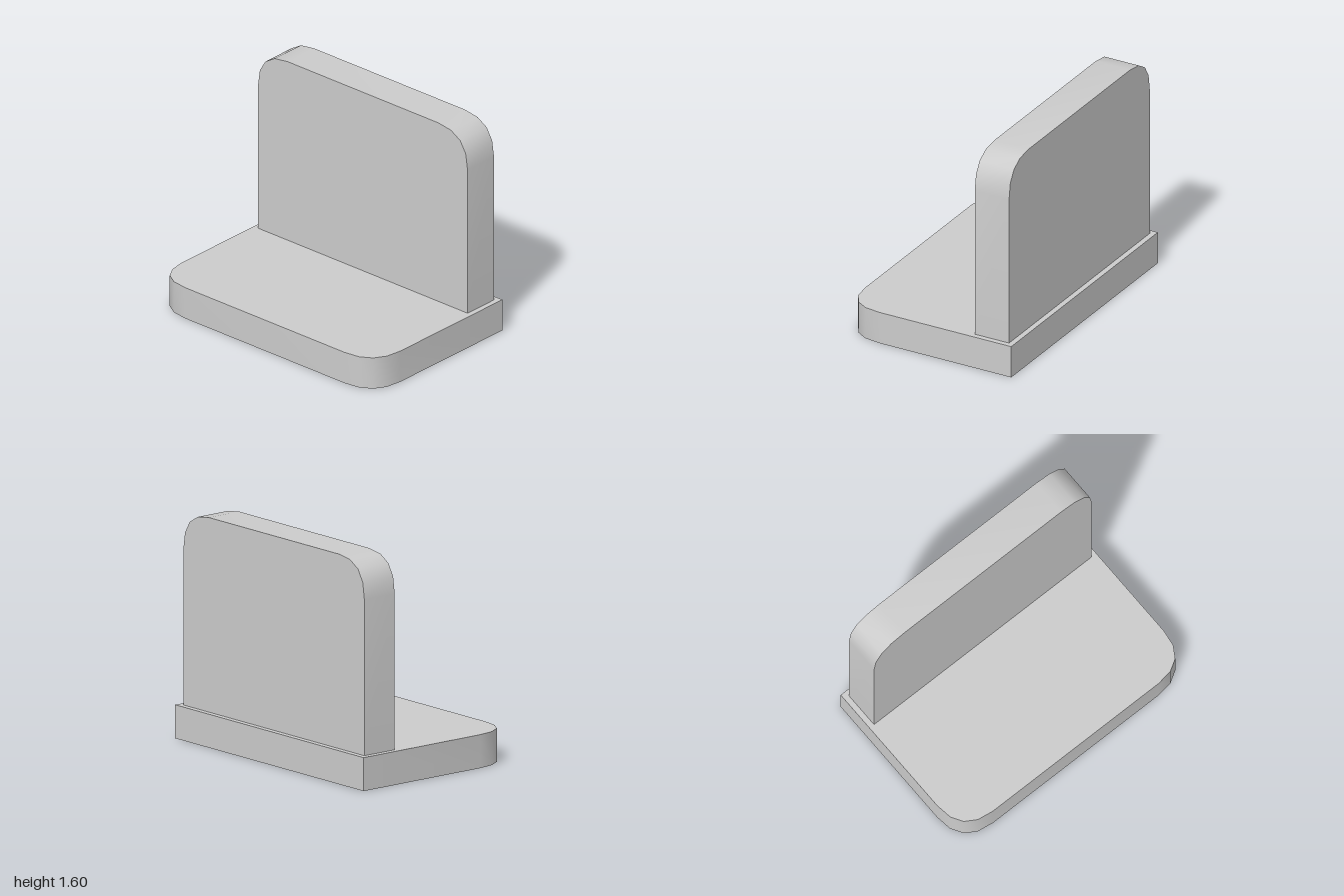
import * as THREE from 'three';
import { toCreasedNormals } from 'three/addons/utils/BufferGeometryUtils.js';

const material = new THREE.MeshStandardMaterial({ color: 0xcccccc });

// Slab whose outline runs from y0 (square corners) to y1 (rounded corners)
function roundedSlab(halfWidth, y0, y1, radius, depth) {
  const w = halfWidth;
  const shape = new THREE.Shape();
  shape.moveTo(-w, y0);
  shape.lineTo(w, y0);
  shape.lineTo(w, y1 - radius);
  shape.quadraticCurveTo(w, y1, w - radius, y1);
  shape.lineTo(-w + radius, y1);
  shape.quadraticCurveTo(-w, y1, -w, y1 - radius);
  shape.closePath();
  const geometry = new THREE.ExtrudeGeometry(shape, { depth, bevelEnabled: false, curveSegments: 4 });
  return toCreasedNormals(geometry, 0.7);
}

function addPart(group, name, geometry) {
  const mesh = new THREE.Mesh(geometry, material);
  mesh.name = name;
  group.add(mesh);
}

export function createModel() {
  const group = new THREE.Group();
  group.name = 'seatWithBackrest';
  const seatHeight = 0.235;

  // Seat: laid flat, rounded at the front corners
  const seat = roundedSlab(1, -0.655, 0.655, 0.27, seatHeight);
  seat.rotateX(Math.PI / 2).translate(0, seatHeight, 0);
  addPart(group, 'seat', seat);

  // Backrest: upright, rounded at the top corners
  const backrest = roundedSlab(0.96, seatHeight, 1.6, 0.27, 0.27);
  backrest.translate(0, 0, -0.615);
  addPart(group, 'backrest', backrest);

  return group;
}
